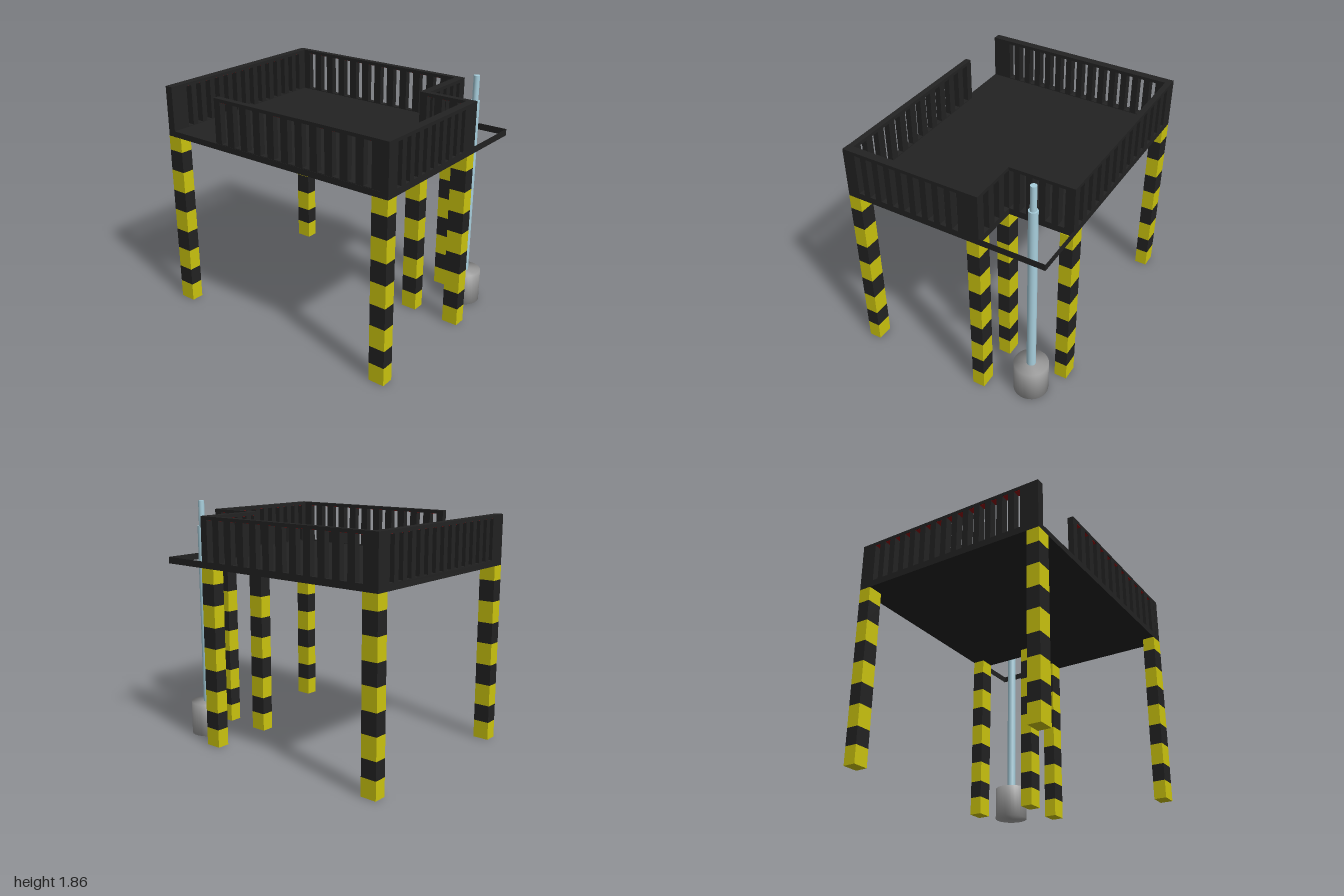
import * as THREE from 'three';

const FLOOR = 1.38, SLOT_LOW = 1.43, SLOT_HIGH = 1.74, TOP = 1.765;

function material(name, color, side = THREE.FrontSide) {
  const m = new THREE.MeshStandardMaterial({ color, side });
  m.name = name;
  return m;
}

export function createModel() {
  const model = new THREE.Group();
  model.name = 'raisedPlatform';
  const dark = material('charcoal', 0x222222, THREE.DoubleSide);
  const yellow = material('hazardYellow', 0xcac30e);
  const blue = material('paleBlue', 0xa8cfdd);
  const grey = material('drumGrey', 0x9c9c9c);
  const red = material('red', 0x8b1010);

  function add(parent, name, geometry, mat) {
    const mesh = new THREE.Mesh(geometry, mat);
    mesh.name = name;
    parent.add(mesh);
    return mesh;
  }

  // box given by its bounds
  function box(parent, name, x0, x1, y0, y1, z0, z1, mat) {
    const mesh = add(parent, name, new THREE.BoxGeometry(x1 - x0, y1 - y0, z1 - z0), mat);
    mesh.position.set((x0 + x1) / 2, (y0 + y1) / 2, (z0 + z1) / 2);
    return mesh;
  }

  // L-shaped floor (shape y becomes -z)
  const outline = [[-1, -0.78], [1, -0.78], [1, 0.29], [0.62, 0.29], [0.62, 0.78], [-1, 0.78]];
  const floorShape = new THREE.Shape(outline.map(([x, y]) => new THREE.Vector2(x, y)));
  const floor = new THREE.ExtrudeGeometry(floorShape, { depth: 0.045, bevelEnabled: false });
  add(model, 'floor', floor.rotateX(-Math.PI / 2).translate(0, FLOOR, 0), dark);

  // wall with a row of upright slots, drawn along u and extruded by its thickness
  function wall(name, u0, u1, thick, firstSlot, count, slotWidth, pitch) {
    const group = new THREE.Group();
    group.name = name;
    const shape = new THREE.Shape([
      new THREE.Vector2(u0, FLOOR), new THREE.Vector2(u1, FLOOR),
      new THREE.Vector2(u1, TOP), new THREE.Vector2(u0, TOP)]);
    for (let i = 0; i < count; i++) {
      const a = firstSlot + i * pitch, b = a + slotWidth;
      shape.holes.push(new THREE.Path([
        new THREE.Vector2(a, SLOT_LOW), new THREE.Vector2(a, SLOT_HIGH),
        new THREE.Vector2(b, SLOT_HIGH), new THREE.Vector2(b, SLOT_LOW)]));
      // red underside at the head of each slot
      box(group, 'slotHead', a, b, SLOT_HIGH - 0.002, SLOT_HIGH, 0.004, thick - 0.004, red);
    }
    add(group, 'slottedPanel', new THREE.ExtrudeGeometry(shape, { depth: thick, bevelEnabled: false }), dark);
    model.add(group);
    return group;
  }

  // walls running along x
  wall('backWall', -1, 0.62, 0.045, -0.88, 12, 0.0625, 0.125).position.z = -0.78;
  wall('frontWall', -0.5, 1, 0.045, -0.4425, 11, 0.0625, 0.125).position.z = 0.733;
  wall('notchFrontWall', 0.56, 1, 0.045, 0.62, 3, 0.0625, 0.125).position.z = -0.29;

  // walls running along z; x is the outer (+x) face
  function sideWall(x, ...args) {
    const g = wall(...args);
    g.rotation.y = -Math.PI / 2;
    g.position.x = x;
  }
  sideWall(-0.938, 'leftEndWall', -0.78, 0.78, 0.062, -0.661, 14, 0.048, 0.096);
  sideWall(1, 'rightEndWall', -0.29, 0.78, 0.062, -0.133, 9, 0.048, 0.096);
  sideWall(0.62, 'notchSideWall', -0.78, -0.25, 0.062, -0.709, 5, 0.048, 0.096);

  // thin edge bands closing the open notch
  box(model, 'notchBandSide', 0.998, 1, FLOOR, SLOT_LOW, -0.78, -0.29, dark);
  box(model, 'notchBandBack', 0.62, 1, FLOOR, SLOT_LOW, -0.78, -0.778, dark);

  // striped legs, placed by their low x and z corners
  const bands = [0, 0.14, 0.275, 0.442, 0.605, 0.775, 0.937, 1.105, 1.268, FLOOR];
  const corners = [[-1, 0.685], [0.875, 0.685], [-1, -0.78], [0.5, -0.78], [0.5, -0.29], [0.875, -0.29]];
  for (const [x, z] of corners) {
    const leg = new THREE.Group();
    leg.name = 'leg';
    for (let i = 0; i < bands.length - 1; i++) {
      box(leg, i % 2 ? 'darkBand' : 'yellowBand', x, x + 0.125, bands[i], bands[i + 1],
        z, z + 0.097, i % 2 ? dark : yellow);
    }
    model.add(leg);
  }

  // drum and stepped pole standing in the notch
  const pump = new THREE.Group();
  pump.name = 'poleAndDrum';
  pump.position.set(0.823, 0, -0.59);
  const drumProfile = [[0, 0.01], [0.13, 0.01], [0.13, 0.267], [0, 0.267]].map(p => new THREE.Vector2(...p));
  add(pump, 'drum', new THREE.LatheGeometry(drumProfile, 32), grey);
  add(pump, 'lowerPole', new THREE.CylinderGeometry(0.034, 0.034, 1.40, 24), blue).position.y = 0.965;
  add(pump, 'upperPole', new THREE.CylinderGeometry(0.023, 0.023, 0.195, 24), blue).position.y = 1.7595;
  model.add(pump);

  return model;
}
